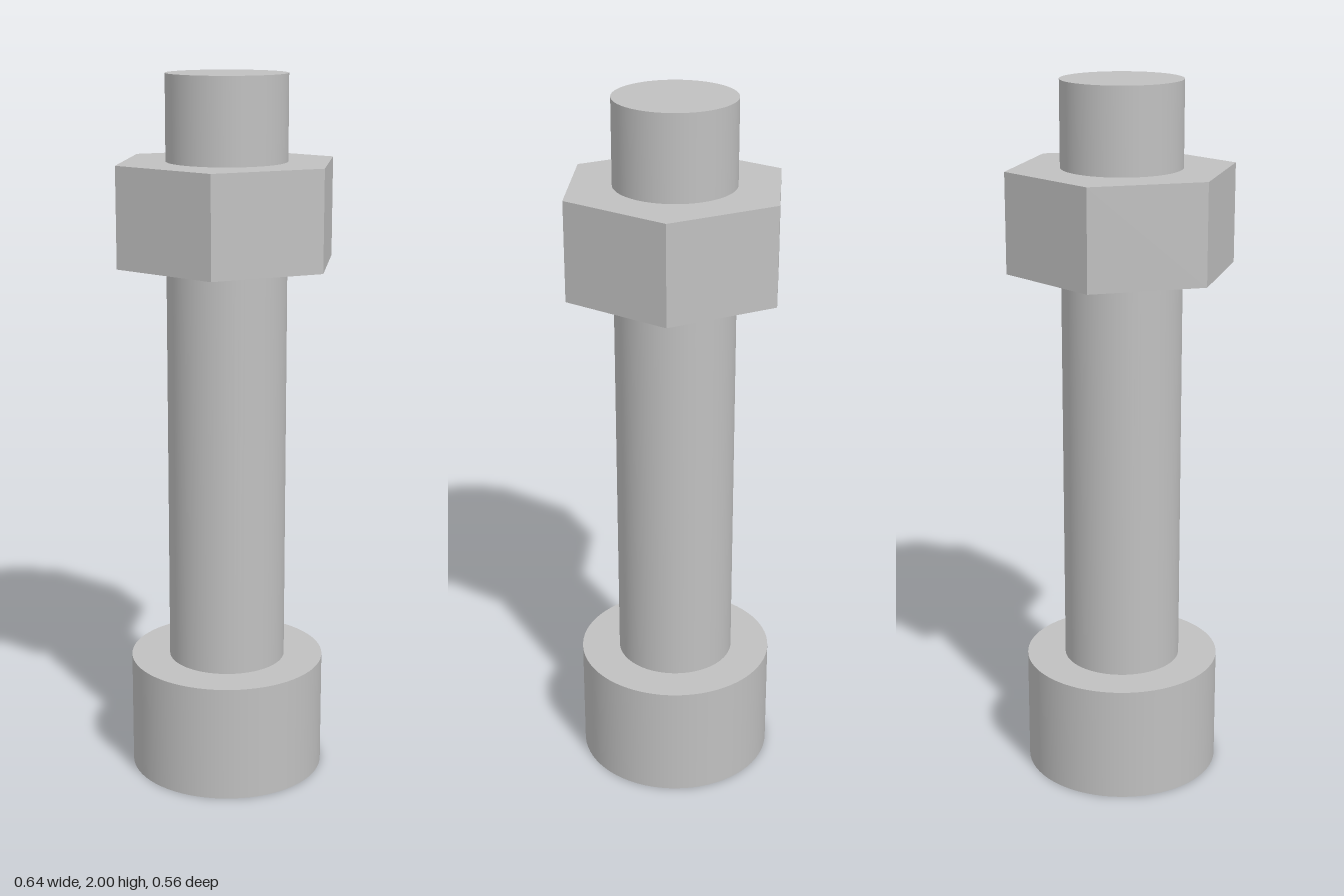
import * as THREE from 'three';

const SHAFT_RADIUS = 0.167;
const SEGMENTS = 72;

export function createModel() {
  const model = new THREE.Group();
  model.name = 'boltAndNut';

  const steel = new THREE.MeshStandardMaterial({ color: 0xc0c0c0 });
  steel.name = 'steel grey';

  const add = (name, geometry, y) => {
    const mesh = new THREE.Mesh(geometry, steel);
    mesh.name = name;
    mesh.position.y = y;
    model.add(mesh);
  };

  // Round head the bolt stands on
  const headHeight = 0.333;
  add('head', new THREE.CylinderGeometry(0.278, 0.278, headHeight, SEGMENTS), headHeight / 2);

  // Plain shaft, from the head to the tip
  const shaftLength = 2 - headHeight;
  add('shaft', new THREE.CylinderGeometry(SHAFT_RADIUS, SHAFT_RADIUS, shaftLength, SEGMENTS), headHeight + shaftLength / 2);

  // Hexagonal nut with corners on the x axis and a bore for the shaft
  const hexagon = new THREE.Shape();
  hexagon.setFromPoints(Array.from({ length: 6 }, (_, i) => {
    const angle = i * Math.PI / 3;
    return new THREE.Vector2(Math.cos(angle), Math.sin(angle)).multiplyScalar(0.321);
  }));
  const bore = new THREE.Path();
  bore.absarc(0, 0, SHAFT_RADIUS, 0, Math.PI * 2, true);
  hexagon.holes.push(bore);
  const nut = new THREE.ExtrudeGeometry(hexagon, {
    depth: 0.277, bevelEnabled: false, curveSegments: SEGMENTS / 2,
  });
  nut.rotateX(-Math.PI / 2);
  add('nut', nut, 1.488);

  return model;
}
